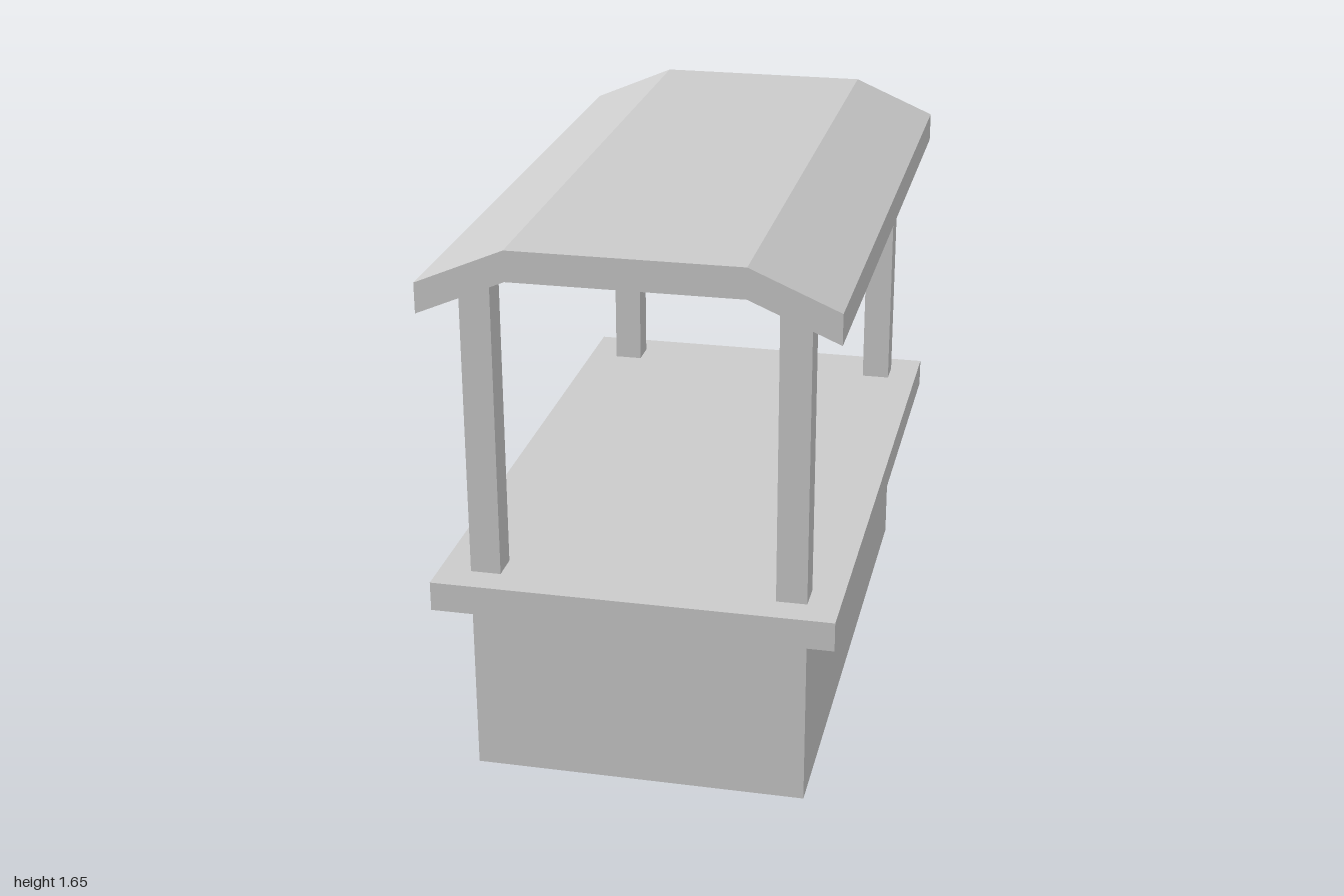
import * as THREE from 'three';

export function createModel() {
  const model = new THREE.Group();
  const material = new THREE.MeshStandardMaterial({ color: 0xcccccc, flatShading: true });

  const add = (name, geometry, x = 0, y = 0, z = 0) => {
    const mesh = new THREE.Mesh(geometry, material);
    mesh.name = name;
    mesh.position.set(x, y, z);
    model.add(mesh);
  };
  // Box placed by its bottom and top heights
  const addBox = (name, width, depth, bottom, top, x = 0, z = 0) =>
    add(name, new THREE.BoxGeometry(width, top - bottom, depth), x, (bottom + top) / 2, z);

  // Solid counter base and overhanging worktop
  addBox('counterBase', 0.984, 1.814, 0, 0.55);
  addBox('countertop', 1.17, 2, 0.55, 0.638);

  // Four corner posts, ending just inside the sloping roof
  for (const [side, x] of [['Left', 0.447], ['Right', -0.447]]) {
    for (const [end, z] of [['front', 0.863], ['back', -0.863]]) {
      addBox(`${end}${side}Post`, 0.089, 0.088, 0.638, 1.536, x, z);
    }
  }

  // Bent roof slab: flat middle with sloping eaves, extruded along z
  const upper = [[-0.585, 1.546], [-0.33, 1.655], [0.33, 1.655], [0.585, 1.546]];
  const lower = upper.map(([x, y]) => [x, y - 0.089]).reverse();
  const profile = new THREE.Shape([...upper, ...lower].map(([x, y]) => new THREE.Vector2(x, y)));
  const roof = new THREE.ExtrudeGeometry(profile, { depth: 2, bevelEnabled: false });
  roof.translate(0, 0, -1);
  add('roof', roof);

  return model;
}
